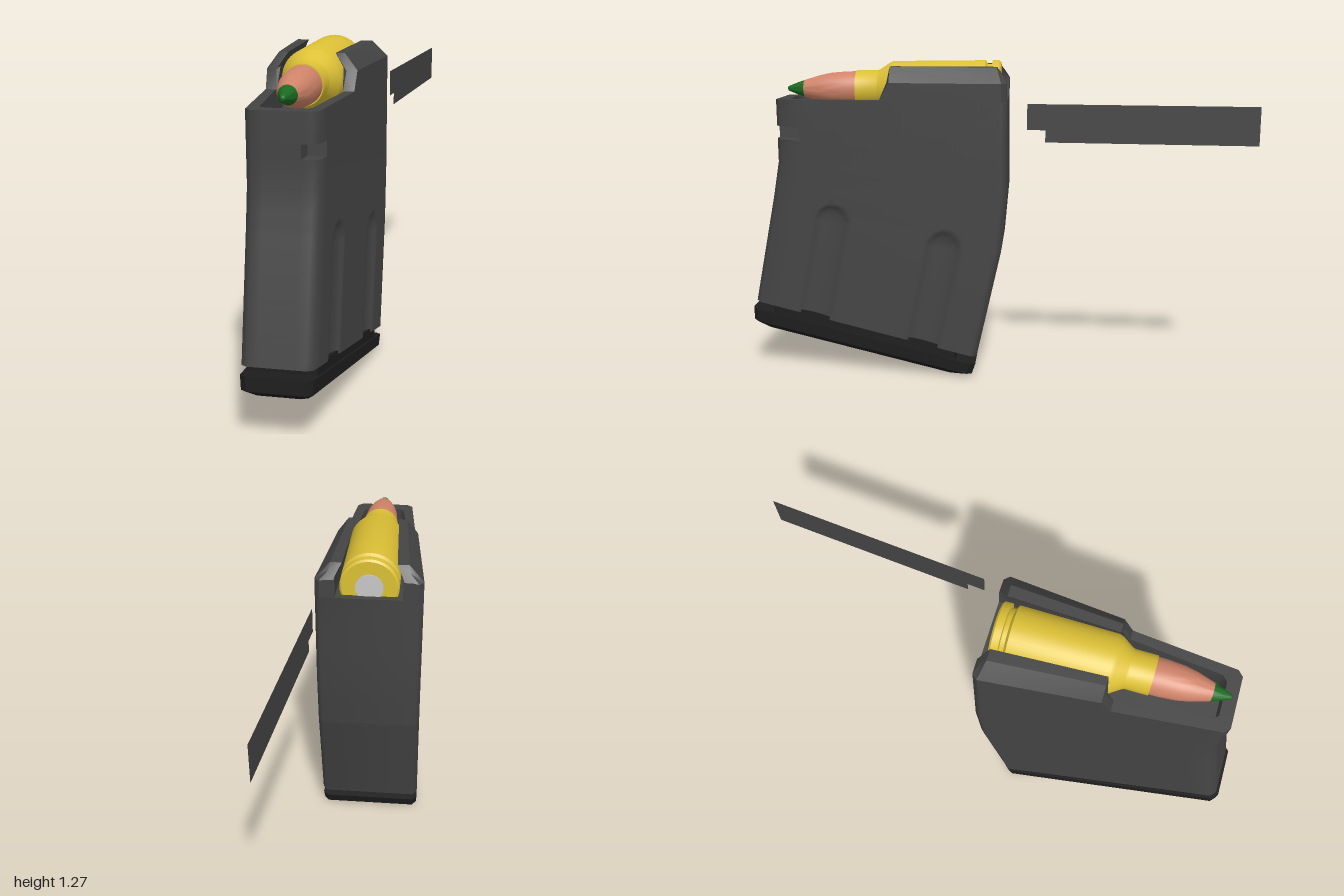
import * as THREE from 'three';
import { toCreasedNormals } from 'three/addons/utils/BufferGeometryUtils.js';

const CX = -0.04; // the case and cartridge sit slightly off centre
const lerp = THREE.MathUtils.lerp;

// Skin a list of equal-length rings, optionally capping both ends
function loft(rings, crease, capStart = true, capEnd = true) {
  const n = rings[0].length, pos = rings.flat(2), idx = [];
  for (let j = 0; j < rings.length - 1; j++) {
    for (let i = 0; i < n; i++) {
      const k = (i + 1) % n, a = j * n, b = a + n;
      idx.push(a + i, a + k, b + k, a + i, b + k, b + i);
    }
  }
  const cap = (ring, base, flip) => {
    const c = pos.length / 3;
    for (let d = 0; d < 3; d++) pos.push(ring.reduce((s, p) => s + p[d], 0) / n);
    for (let i = 0; i < n; i++) {
      const k = (i + 1) % n;
      idx.push(c, base + (flip ? k : i), base + (flip ? i : k));
    }
  };
  if (capStart) cap(rings[0], 0, true);
  if (capEnd) cap(rings[rings.length - 1], (rings.length - 1) * n, false);
  const g = new THREE.BufferGeometry();
  g.setAttribute('position', new THREE.Float32BufferAttribute(pos, 3));
  g.setIndex(idx);
  return toCreasedNormals(g, crease);
}

// Pressed groove depth on the left side: t runs back to front, len runs up
function grooveDepth(t, len) {
  let depth = 0;
  for (const tc of [0.24, 0.73]) {
    const d = Math.hypot((t - tc) * 0.93, Math.max(0, len - 0.395)) / 0.065;
    if (d < 1) depth = 0.018 * Math.sqrt(1 - d * d);
  }
  return depth;
}

// Tapered cross-section between a back and a front point, each [z, y]
function ring(back, front, { hb = 0.21, hf = 0.12, r = 0.02, cols = 1, notch = false, len = 9 } = {}) {
  const [zb, yb] = back, [zf, yf] = front;
  const tOf = z => (z - zb) / (zf - zb);
  const w = z => lerp(hb, hf, tOf(z));
  const half = s => {
    const cut = notch && s > 0;
    const P = (x, z) => [s * x, lerp(yb, yf, tOf(z)), z];
    const inner = hf * 0.54, zn = zf - 0.095;
    const pts = [P(inner, zf)];
    pts.push(cut ? P(inner, zn) : P(hf - r, zf));
    pts.push(cut ? P(inner, zn) : P(w(zf - r), zf - r));
    for (let i = 0; i <= cols; i++) {
      const z = lerp(zn, zb + r, i / cols);
      pts.push(P(w(z) - (s > 0 ? grooveDepth(tOf(z), len) : 0), z));
    }
    pts.push(P(hb - r, zb));
    return pts;
  };
  return [...half(1), ...half(-1).reverse()];
}

function caseBody() {
  // Level knots: height along the case, back point, front point
  const knots = [
    [0, [0.07, 0.09], [0.985, 0.29]],
    [0.44, [-0.03, 0.53], [0.895, 0.73]],
    [0.6, [-0.05, 0.75], [0.87, 0.87]],
    [0.85, [-0.05, 1.12], [0.87, 1.12]],
  ];
  const at = len => {
    const k = len < 0.44 ? 0 : len < 0.6 ? 1 : 2;
    const [l0, b0, f0] = knots[k], [l1, b1, f1] = knots[k + 1];
    const u = (len - l0) / (l1 - l0);
    return [b0.map((v, i) => lerp(v, b1[i], u)), f0.map((v, i) => lerp(v, f1[i], u))];
  };
  const opts = { cols: 80 };
  const rows = [];
  const add = (len, notch = false) => rows.push(ring(...at(len), { ...opts, len, notch }));
  for (let i = 0; i < 14; i++) add(i * 0.027);
  for (let i = 0; i <= 10; i++) add(0.378 + i * 0.0093);
  [0.5, 0.6, 0.695].forEach(l => add(l));
  add(0.695, true);
  add(0.745, true);
  [0.745, 0.85].forEach(l => add(l));
  // Rim and hollow top
  for (const y of [1.12, 1.03]) {
    rows.push(ring([-0.02, y], [0.82, y], { ...opts, hb: 0.175, hf: 0.085 }));
  }
  return loft(rows, 0.85);
}

// Feed lip as a section swept from back to front
function feedLip() {
  const section = (z, out, outTop, inTop, inMid, inLow, top, zLow = z) => [
    [out + (z - zLow) * 0.1, 1.12, zLow], [out, 1.19, z], [outTop, top, z],
    [inTop, top, z], [inMid, Math.min(top, 1.2), z], [inLow, 1.12, zLow],
  ];
  return loft([
    section(-0.05, 0.19, 0.165, 0.135, 0.13, 0.13, 1.195),
    section(-0.03, 0.208, 0.155, 0.12, 0.13, 0.13, 1.225),
    section(-0.01, 0.206, 0.15, 0.105, 0.13, 0.13, 1.25),
    section(0.41, 0.165, 0.12, 0.086, 0.115, 0.12, 1.25, 0.45),
  ], 0.5);
}

export function createModel() {
  const model = new THREE.Group();
  const mat = (name, color, side = THREE.FrontSide) => {
    const m = new THREE.MeshStandardMaterial({ color, side });
    m.name = name;
    return m;
  };
  const shell = mat('darkGrey', 0x444444, THREE.DoubleSide);
  const black = mat('black', 0x1e1e1e);
  const brass = mat('brass', 0xdcc035);
  const copper = mat('copper', 0xd0846a);
  const green = mat('green', 0x1a6a20);
  const silver = mat('silver', 0xc8c8c8);
  const add = (name, geometry, material, parent = model) => {
    const m = new THREE.Mesh(geometry, material);
    m.name = name;
    parent.add(m);
    return m;
  };

  // Curved case with its feed lips
  const box = new THREE.Group();
  box.name = 'case';
  box.position.x = CX;
  model.add(box);
  add('caseBody', caseBody(), shell, box);
  const lip = feedLip();
  add('leftFeedLip', lip, shell, box);
  add('rightFeedLip', lip, shell, box).scale.x = -1;

  // Slanted floor plate joined by a narrower neck
  add('floorPlateNeck', loft([
    ring([0.155, 0.06], [0.91, 0.225], { hb: 0.195, hf: 0.122, r: 0.005 }),
    ring([0.155, 0.12], [0.91, 0.285], { hb: 0.195, hf: 0.122, r: 0.005 }),
  ], 0.5), black, box);
  add('floorPlate', loft([
    ring([0.16, 0.004], [0.955, 0.175], { hb: 0.165, hf: 0.095 }),
    ring([0.09, 0.015], [1.0, 0.208], { hb: 0.207, hf: 0.12 }),
    ring([0.075, 0.057], [1.0, 0.262], { hb: 0.21, hf: 0.122 }),
  ], 0.5), black, box);

  // Cartridge turned along z
  const cartridge = new THREE.Group();
  cartridge.name = 'cartridge';
  cartridge.position.set(CX, 1.155, 0);
  model.add(cartridge);
  const turn = (name, profile, material) => {
    const g = new THREE.LatheGeometry(profile.map(p => new THREE.Vector2(...p)), 40);
    g.rotateX(Math.PI / 2);
    add(name, toCreasedNormals(g, 0.45), material, cartridge);
  };
  turn('cartridgeCase', [
    [0, -0.022], [0.107, -0.022], [0.115, -0.015], [0.115, 0.012], [0.099, 0.014], [0.099, 0.03],
    [0.115, 0.04], [0.111, 0.41], [0.105, 0.425], [0.078, 0.465], [0.074, 0.475], [0.074, 0.56], [0.066, 0.56],
  ], brass);
  turn('primer', [[0, -0.026], [0.055, -0.026], [0.055, -0.02]], silver);
  turn('bullet', [[0.07, 0.55], [0.069, 0.6], [0.064, 0.66], [0.054, 0.71], [0.034, 0.775]], copper);
  turn('bulletTip', [[0.034, 0.775], [0.022, 0.81], [0.009, 0.842], [0, 0.846]], green);

  // Loose flat strip behind the case
  const strip = new THREE.ShapeGeometry(new THREE.Shape([
    [-0.13, 1.115], [-0.13, 1.015], [-0.2, 1.015], [-0.2, 0.968], [-1, 0.968], [-1, 1.115],
  ].map(p => new THREE.Vector2(...p))));
  const p = strip.attributes.position;
  for (let i = 0; i < p.count; i++) {
    const z = p.getX(i);
    p.setXYZ(i, lerp(0.165, 0.247, (-0.13 - z) / 0.87), p.getY(i), z);
  }
  strip.computeVertexNormals();
  add('flatStrip', strip, shell);

  return model;
}
